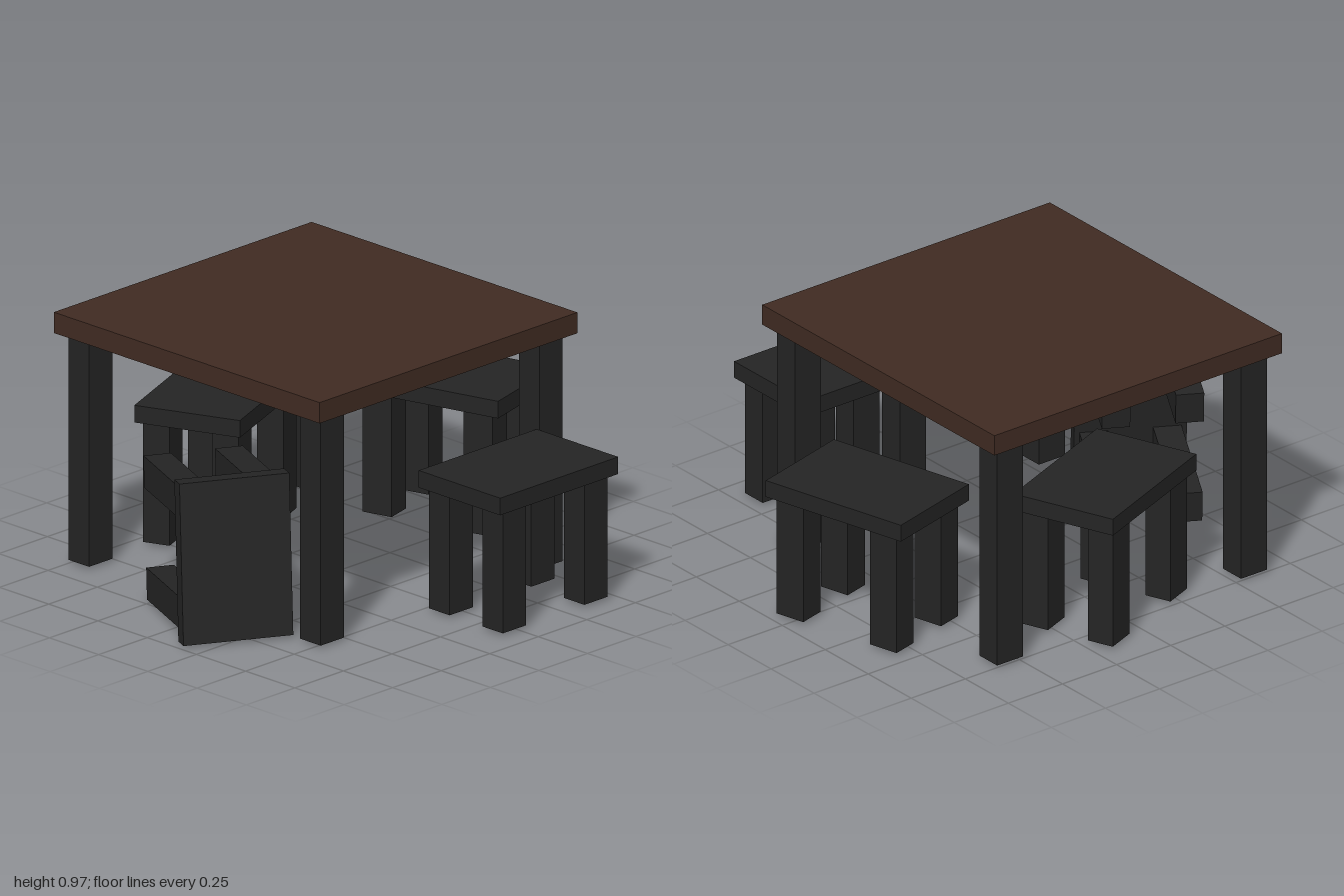
import * as THREE from 'three';

const walnut = new THREE.MeshStandardMaterial({ color: 0x402b22 });
walnut.name = 'dark walnut';
const charcoal = new THREE.MeshStandardMaterial({ color: 0x242424 });
charcoal.name = 'charcoal wood';

const LEG_X = 0.104, LEG_Z = 0.12;
const STOOL = { width: 0.414, length: 0.608, height: 0.535, seat: 0.066 };

// Box standing on the given base height
function addBox(parent, name, material, w, h, d, x, y, z) {
  const mesh = new THREE.Mesh(new THREE.BoxGeometry(w, h, d), material);
  mesh.name = name;
  mesh.position.set(x, y + h / 2, z);
  parent.add(mesh);
}

// Four legs, mirrored about the group's centre
function addLegs(parent, name, height, x, z) {
  for (const sx of [-1, 1])
    for (const sz of [-1, 1])
      addBox(parent, name, charcoal, LEG_X, height, LEG_Z, sx * x, 0, sz * z);
}

function createTable() {
  const table = new THREE.Group();
  table.name = 'table';
  addBox(table, 'tableTop', walnut, 1.35, 0.08, 1.328, 0, 0.876, 0);
  addLegs(table, 'tableLeg', 0.876, 0.588, 0.563);
  table.position.set(-0.114, 0.011, 0.017);
  // legs sit slightly towards the front of the top
  return table;
}

function createStool(name) {
  const { width, length, height, seat } = STOOL;
  const stool = new THREE.Group();
  stool.name = name;
  addBox(stool, 'seat', charcoal, width, seat, length, 0, height - seat, 0);
  addLegs(stool, 'stoolLeg', height - seat, width / 2 - 0.02 - LEG_X / 2, length / 2 - 0.034 - LEG_Z / 2);
  return stool;
}

export function createModel() {
  const model = new THREE.Group();
  model.name = 'tableWithStools';
  model.add(createTable());

  // Upright stools: name, x, z, turn in degrees
  const upright = [
    ['leftSideStool', 0.718, -0.184, 0],
    ['backStool', -0.14, -0.718, 105],
    ['rightSideStool', -0.621, -0.003, 21.8],
  ];
  for (const [name, x, z, turn] of upright) {
    const stool = createStool(name);
    stool.position.set(x, 0.011, z);
    stool.rotation.y = THREE.MathUtils.degToRad(turn);
    model.add(stool);
  }

  // Stool tipped over on its side, resting on the seat edge and two leg ends
  const turn = THREE.MathUtils.degToRad(29), tilt = THREE.MathUtils.degToRad(4.9);
  const c = Math.cos(tilt), s = Math.sin(tilt);
  const up = new THREE.Vector3(Math.cos(turn) * c, s, Math.sin(turn) * c);
  const along = new THREE.Vector3(-Math.cos(turn) * s, c, -Math.sin(turn) * s);
  const side = new THREE.Vector3().crossVectors(up, along);
  const fallen = createStool('fallenStool');
  fallen.quaternion.setFromRotationMatrix(new THREE.Matrix4().makeBasis(side, up, along));
  fallen.position.set(0.256, 0.315, 0.8).addScaledVector(up, -STOOL.height);
  model.add(fallen);

  return model;
}
